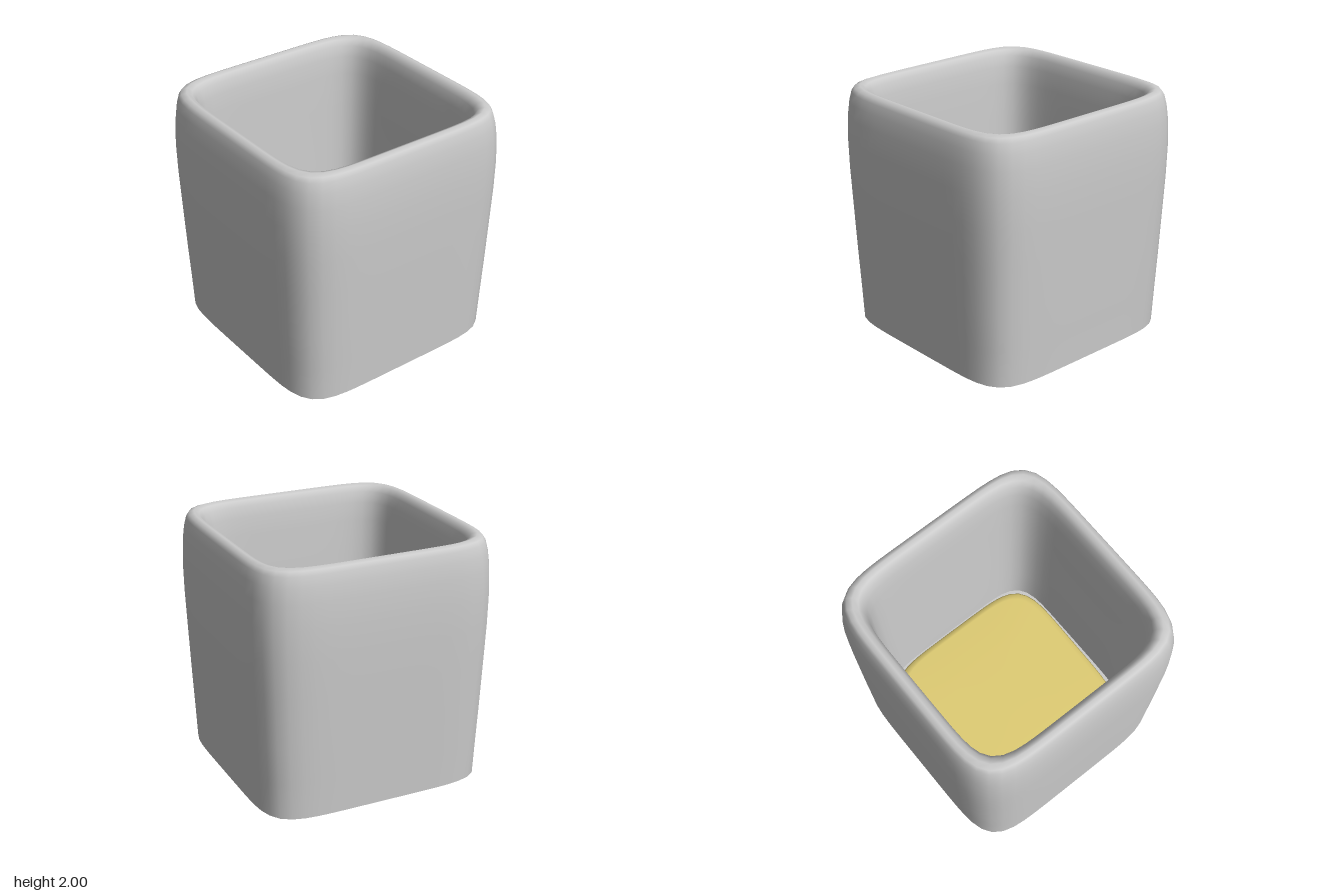
import * as THREE from 'three';

const SEGMENTS = 80;

// Loft a [half width, height] profile around a rounded-square section.
function loft(profile, power, name, material) {
  const positions = [], index = [];
  profile.forEach(([r, y], i) => {
    for (let j = 0; j < SEGMENTS; j++) {
      const a = (j / SEGMENTS) * Math.PI * 2;
      const c = Math.cos(a), s = Math.sin(a);
      const k = r * Math.pow(Math.abs(c) ** power + Math.abs(s) ** power, -1 / power);
      positions.push(k * c, y, k * s);
      if (i === 0) continue;
      const next = (j + 1) % SEGMENTS;
      const p = (i - 1) * SEGMENTS + j, q = (i - 1) * SEGMENTS + next;
      const u = i * SEGMENTS + j, v = i * SEGMENTS + next;
      index.push(p, u, q, q, u, v);
    }
  });
  const geometry = new THREE.BufferGeometry();
  geometry.setAttribute('position', new THREE.Float32BufferAttribute(positions, 3));
  geometry.setIndex(index);
  geometry.computeVertexNormals();
  const mesh = new THREE.Mesh(geometry, material);
  mesh.name = name;
  return mesh;
}

export function createModel() {
  const group = new THREE.Group();
  group.name = 'squarePot';
  const grey = new THREE.MeshStandardMaterial({ color: 0xcccccc });
  const yellow = new THREE.MeshStandardMaterial({ color: 0xe0cd74 });

  // Tapered outer wall, rolled rim and inner wall
  group.add(loft([
    [0.945, 0], [0.957, 0.3], [0.97, 0.6], [0.985, 1], [0.996, 1.3], [1, 1.55],
    [0.993, 1.75], [0.98, 1.87], [0.963, 1.95], [0.945, 1.985], [0.91, 2],
    [0.875, 1.985], [0.85, 1.94], [0.833, 1.85], [0.822, 1.7], [0.812, 1.4],
    [0.795, 0.9], [0.78, 0.5], [0.77, 0.15],
  ], 6.4, 'wall', grey));

  // Flat underside and cavity floor
  group.add(loft([[0, 0], [0.5, 0], [0.945, 0]], 6.4, 'base', grey));
  group.add(loft([[0.77, 0.15], [0.4, 0.15], [0, 0.15]], 6.4, 'floor', grey));

  // Yellow filling, narrowing slightly to the front
  const filling = loft([
    [0.75, 0.15], [0.755, 0.2], [0.74, 0.225], [0.7, 0.235], [0.35, 0.24], [0, 0.24],
  ], 5.4, 'filling', yellow);
  const pos = filling.geometry.attributes.position;
  for (let i = 0; i < pos.count; i++) {
    const z = pos.getZ(i);
    pos.setX(i, pos.getX(i) * (0.99 - 0.02 * z) - 0.01);
    pos.setZ(i, z + 0.013);
  }
  filling.geometry.computeVertexNormals();
  group.add(filling);

  return group;
}
